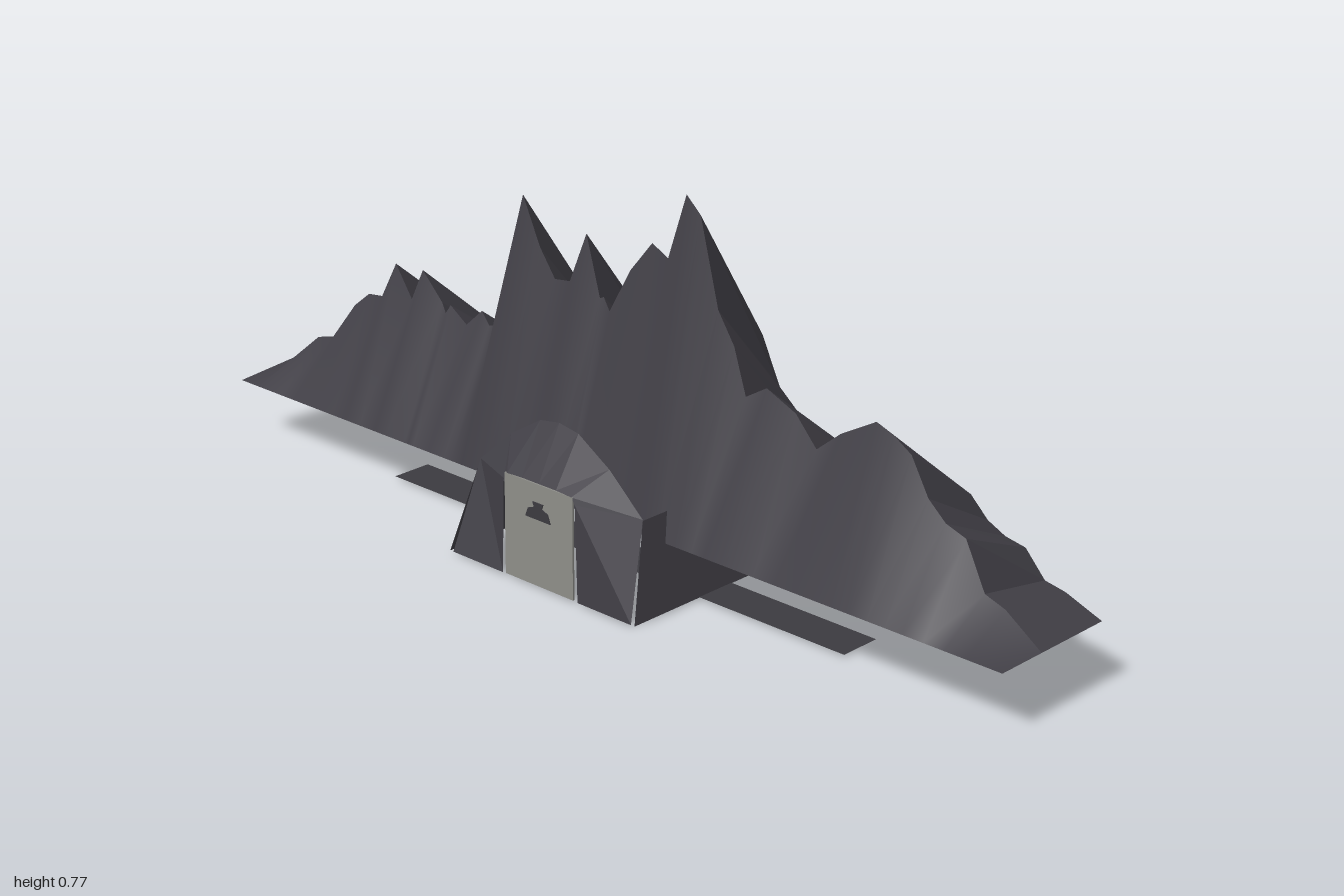
import * as THREE from 'three';
import { mergeVertices } from 'three/addons/utils/BufferGeometryUtils.js';

const paint = (name, color) => {
  const m = new THREE.MeshStandardMaterial({ color, side: THREE.DoubleSide });
  m.name = name;
  return m;
};

// Sheet spanning two rows of [x, y, z] points, faceted or smooth
function sheet(a, b, smooth = false) {
  const p = [];
  for (let i = 0; i < a.length - 1; i++) {
    p.push(...a[i], ...a[i + 1], ...b[i + 1], ...a[i], ...b[i + 1], ...b[i]);
  }
  let g = new THREE.BufferGeometry();
  g.setAttribute('position', new THREE.Float32BufferAttribute(p, 3));
  if (smooth) g = mergeVertices(g);
  g.computeVertexNormals();
  return g;
}

// Ridge outline: x, height
const RIDGE = [
  [-1, .13], [-.945, .17], [-.875, .23], [-.83, .24], [-.755, .33], [-.71, .365], [-.67, .37],
  [-.625, .45], [-.58, .385], [-.545, .455], [-.49, .40], [-.48, .38], [-.465, .40], [-.42, .37],
  [-.375, .41], [-.355, .385], [-.325, .39], [-.255, .675], [-.21, .58], [-.17, .525], [-.13, .53],
  [-.085, .635], [-.05, .515], [-.04, .52], [-.025, .495], [.03, .59], [.085, .655], [.125, .635],
  [.17, .767], [.205, .735], [.25, .565], [.29, .505], [.32, .415], [.37, .445], [.44, .415],
  [.49, .36], [.545, .405], [.625, .45], [.665, .435], [.705, .41], [.745, .34], [.785, .305],
  [.83, .29], [.875, .20], [.92, .185], [1, .13],
];

export function createModel() {
  const rock = paint('dark rock', 0x424047);
  const stone = paint('door grey', 0x8e8e89);
  const dark = paint('charcoal', 0x3c3b40);
  const root = new THREE.Group();
  const add = (name, geometry, material, x = 0, y = 0, z = 0) => {
    const m = new THREE.Mesh(geometry, material);
    m.name = name;
    m.position.set(x, y, z);
    root.add(m);
    return m;
  };

  // Mountain range: steep front, open back slope, and a smaller vault beneath it
  const row = (sx, sy, z) => RIDGE.map(([x, y]) => [x * sx, .13 + (y - .13) * sy, z]);
  const crest = row(1, 1, 0);
  add('mountainFront', sheet(row(1, 0, .11), crest, true), rock);
  add('mountainBack', sheet(crest, row(1, .547, -.175)), rock);
  add('mountainVault', sheet(row(.737, .37, .04), row(.737, .37, -.175)), rock);

  // Arched gate surround, leaning back from the doorway to the outer arch
  const inner = [[.1, .004, .215], [.094, .2, .215], [.085, .213, .215], [.045, .215, .215]];
  const outer = [[.238, .004, .215], [.215, .19, .16], [.13, .265, .16], [.05, .314, .16]];
  const arch = (half, top) => [
    ...half.map(([x, y, z]) => [-x, y, z]), top, ...half.slice().reverse(),
  ];
  add('gateSurround', sheet(arch(inner, [0, .215, .215]), arch(outer, [0, .322, .16])), rock);

  // Tunnel side walls, leaning inward
  for (const s of [-1, 1]) {
    const low = [[s * .247, .004, -.217], [s * .247, .004, .215]];
    const high = [[s * .215, .188, -.217], [s * .215, .188, .16]];
    add('tunnelWall', s < 0 ? sheet(low, high) : sheet(high, low), rock);
  }

  // Door with a small raised plaque
  add('door', new THREE.BoxGeometry(.18, .208, .004), stone, -.002, .109, .213);
  const plaque = new THREE.Shape([
    [-.033, .142], [.033, .142], [.026, .16], [.01, .166], [.014, .176], [-.014, .176], [-.01, .166], [-.026, .16],
  ].map(([x, y]) => new THREE.Vector2(x, y)));
  add('doorPlaque', new THREE.ExtrudeGeometry(plaque, { depth: .002, bevelEnabled: false }), dark, -.002, 0, .215);

  // Floor strip, a single flat sheet
  add('floorStrip', new THREE.PlaneGeometry(1.2, .09).rotateX(-Math.PI / 2), dark, 0, .005, -.005);

  // Raised beam through the tunnel on paired posts
  add('tunnelBeam', new THREE.BoxGeometry(.05, .018, .42), stone, 0, .179, -.008);
  for (const z of [-.1, -.05, 0, .045]) {
    for (const x of [-.019, .019]) {
      add('beamPost', new THREE.CylinderGeometry(.004, .004, .17, 8), stone, x, .085, z);
    }
  }
  return root;
}
